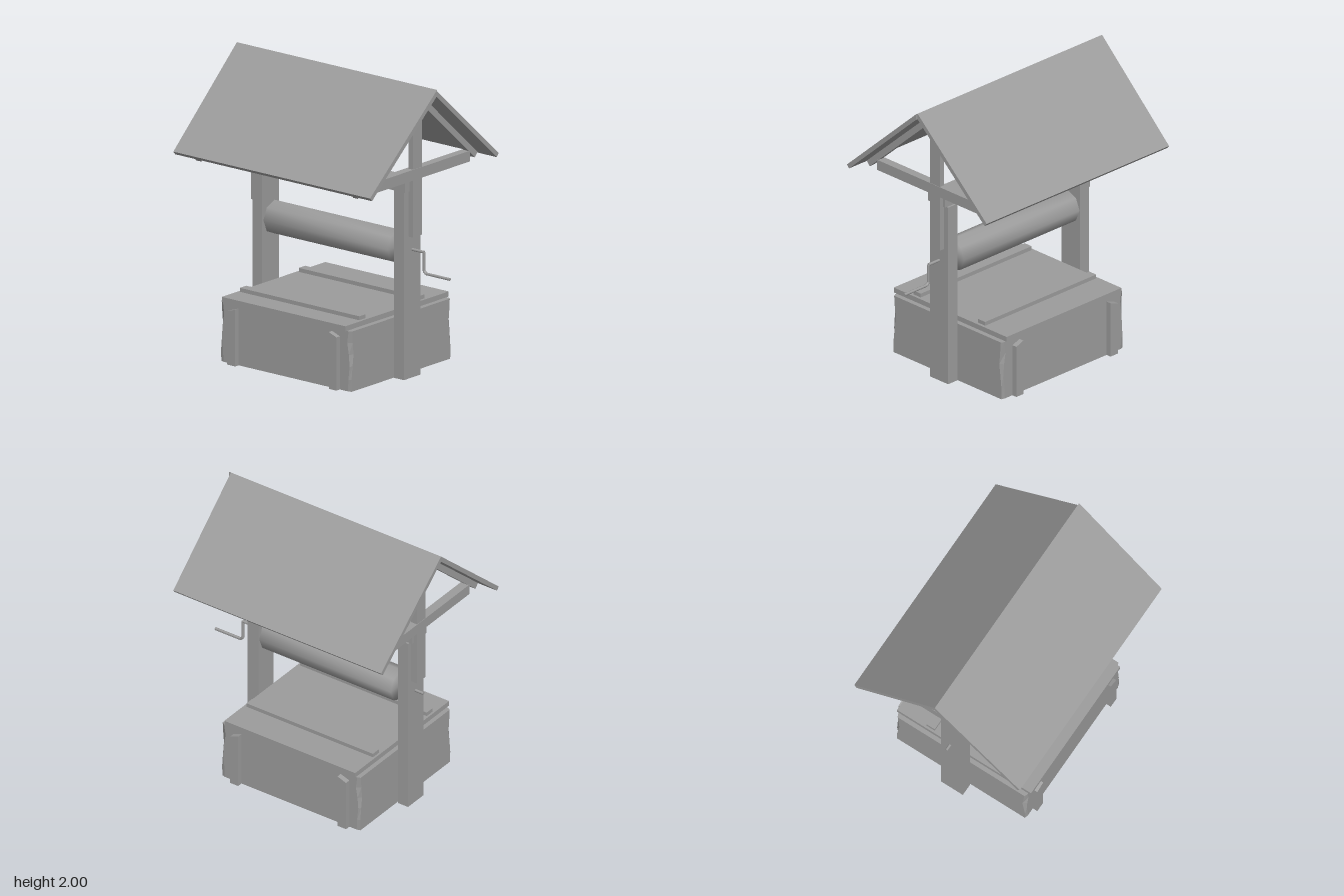
import * as THREE from 'three';
import { mergeVertices } from 'three/addons/utils/BufferGeometryUtils.js';

const color = 0x9c9c9c;
const smooth = new THREE.MeshStandardMaterial({ color });
const flat = new THREE.MeshStandardMaterial({ color, flatShading: true });
const thin = new THREE.MeshStandardMaterial({ color, flatShading: true, side: THREE.DoubleSide });

export function createModel() {
  const model = new THREE.Group();

  const add = (name, geometry, material = flat) => {
    const mesh = new THREE.Mesh(geometry, material);
    mesh.name = name;
    model.add(mesh);
    return mesh;
  };
  // Box given by its extents on each axis
  const box = (name, x0, x1, y0, y1, z0, z1) => {
    const g = new THREE.BoxGeometry(x1 - x0, y1 - y0, z1 - z0);
    g.translate((x0 + x1) / 2, (y0 + y1) / 2, (z0 + z1) / 2);
    return add(name, g);
  };
  // Outline of [z, y] points extruded along x
  const extrudeX = (points, x0, x1) => {
    const shape = new THREE.Shape(points.map(p => new THREE.Vector2(...p)));
    const g = new THREE.ExtrudeGeometry(shape, { depth: x1 - x0, bevelEnabled: false });
    return g.rotateY(-Math.PI / 2).translate(x1, 0, 0);
  };
  // Round rod between two points
  const rod = (name, a, b, r = 0.01) => {
    const from = new THREE.Vector3(...a), to = new THREE.Vector3(...b);
    const dir = to.clone().sub(from);
    const mesh = add(name, new THREE.CylinderGeometry(r, r, dir.length(), 8), smooth);
    mesh.position.copy(from).addScaledVector(dir, 0.5);
    mesh.quaternion.setFromUnitVectors(new THREE.Vector3(0, 1, 0), dir.normalize());
  };

  // Well curb: flat walls, corners worn to a wavy chamfer, and a rim turned in under the lid
  const levels = [ // y, chamfer along x, chamfer along z, inset
    [0, 0.025, 0.008, 0], [0.08, 0.022, 0.006, 0], [0.17, 0.012, 0.016, 0],
    [0.25, 0.018, 0.026, 0], [0.33, 0.032, 0.018, 0], [0.41, 0.02, 0.012, 0], [0.41, 0.02, 0.012, 0.08],
  ];
  const cx = -0.057, hx = 0.557, hz = 0.508;
  const ring = ([y, cutX, cutZ, inset]) =>
    [[1, 1], [-1, 1], [-1, -1], [1, -1]].flatMap(([sx, sz]) => {
      const w = hx - inset, d = hz - inset;
      const pts = [[w, d - cutZ], [w - cutX, d]].map(([x, z]) => [cx + sx * x, y, sz * z]);
      return sx * sz > 0 ? pts : pts.reverse();
    });
  const index = [], n = 8;
  for (let i = 0; i < levels.length - 1; i++) {
    for (let j = 0; j < n; j++) {
      const a = i * n + j, b = i * n + (j + 1) % n;
      index.push(a, a + n, b, b, a + n, b + n);
    }
  }
  const curb = new THREE.BufferGeometry();
  curb.setAttribute('position', new THREE.Float32BufferAttribute(levels.flatMap(l => ring(l).flat()), 3));
  curb.setIndex(index);
  const curbFlat = curb.toNonIndexed();
  curbFlat.computeVertexNormals();
  add('curbWall', curbFlat, thin);

  // Stakes with slanted tops against the front and back walls
  for (const [x0, x1, slope] of [[-0.53, -0.46, 1], [0.34, 0.405, -1]]) {
    for (const [z0, z1] of [[0.502, 0.543], [-0.545, -0.502]]) {
      const g = box('curbStake', x0, x1, 0, 0.375, z0, z1).geometry;
      const p = g.attributes.position;
      for (let i = 0; i < p.count; i++) {
        if (p.getY(i) > 0.2) p.setY(i, 0.375 + Math.sign(p.getX(i) - (x0 + x1) / 2) * slope * 0.012);
      }
      g.computeVertexNormals();
    }
  }

  // Lid with two cleats
  box('lid', -0.585, 0.47, 0.413, 0.448, -0.52, 0.53);
  box('lidCleat', -0.57, 0.45, 0.448, 0.475, 0.30, 0.365);
  box('lidCleat', -0.57, 0.45, 0.448, 0.475, -0.30, -0.235);

  // Frame
  box('post', -0.705, -0.622, 0, 1.28, -0.095, 0.075);
  box('post', 0.502, 0.588, 0, 1.28, -0.095, 0.075);
  box('topBeam', -0.727, 0.602, 1.28, 1.345, -0.08, 0.08);

  // Roof profile: a slab lying between two depths under the roof line
  const ridgeZ = -0.01, run = 0.66, drop = 0.595;
  const len = Math.hypot(run, drop);
  const slab = (side, top, bottom, end) => {
    const foot = d => [ridgeZ + side * (run * end - d * drop / len), 2 - drop * end - d * run / len];
    const peak = d => [ridgeZ, 2 - d * len / run];
    const pts = [peak(top), foot(top), foot(bottom), peak(bottom)];
    return side > 0 ? pts.reverse() : pts;
  };
  const reach = side => (side > 0 ? 1 : 0.975);

  // Gable trusses
  for (const [x0, x1, inner] of [[-0.752, -0.705, 0.01], [0.59, 0.63, -0.014]]) {
    box('kingPost', x0, x1, 0.97, 1.865, -0.06, 0.033);
    box('tieBeam', x0 - 0.003 + Math.min(inner, 0), x1 + 0.003 + Math.max(inner, 0), 1.36, 1.433, -0.543, 0.52);
    for (const side of [1, -1]) add('rafter', extrudeX(slab(side, 0.03, 0.072, reach(side) - 0.015), x0, x1));
  }

  // Roof panels, slightly out of square toward the eaves
  for (const side of [1, -1]) {
    const g = extrudeX(slab(side, 0, 0.03, reach(side)), -0.91, side > 0 ? 0.8 : 0.785);
    const p = g.attributes.position;
    for (let i = 0; i < p.count; i++) {
      const t = Math.abs(p.getZ(i) - ridgeZ) / run, x = p.getX(i);
      p.setX(i, x + t * (x < 0 ? (side > 0 ? 0.012 : 0.02) : (side > 0 ? -0.018 : 0)));
    }
    g.computeVertexNormals();
    add('roofPanel', g);
  }

  // Windlass drum, shaded softly over its end rims
  const cylinder = new THREE.CylinderGeometry(0.115, 0.115, 1.06, 8).rotateZ(Math.PI / 2);
  cylinder.deleteAttribute('normal');
  cylinder.deleteAttribute('uv');
  const drum = mergeVertices(cylinder, 0.001);
  drum.computeVertexNormals();
  add('windlassDrum', drum.translate(-0.058, 0.872, -0.012), smooth);

  // Axle and crank
  const z = -0.012;
  const path = [[-0.77, 0.872, z], [0.687, 0.872, z], [0.687, 0.745, z], [0.705, 0.728, z], [0.908, 0.728, z]];
  const names = ['axle', 'crankArm', 'crankElbow', 'crankHandle'];
  names.forEach((name, i) => rod(name, path[i], path[i + 1]));

  return model;
}
